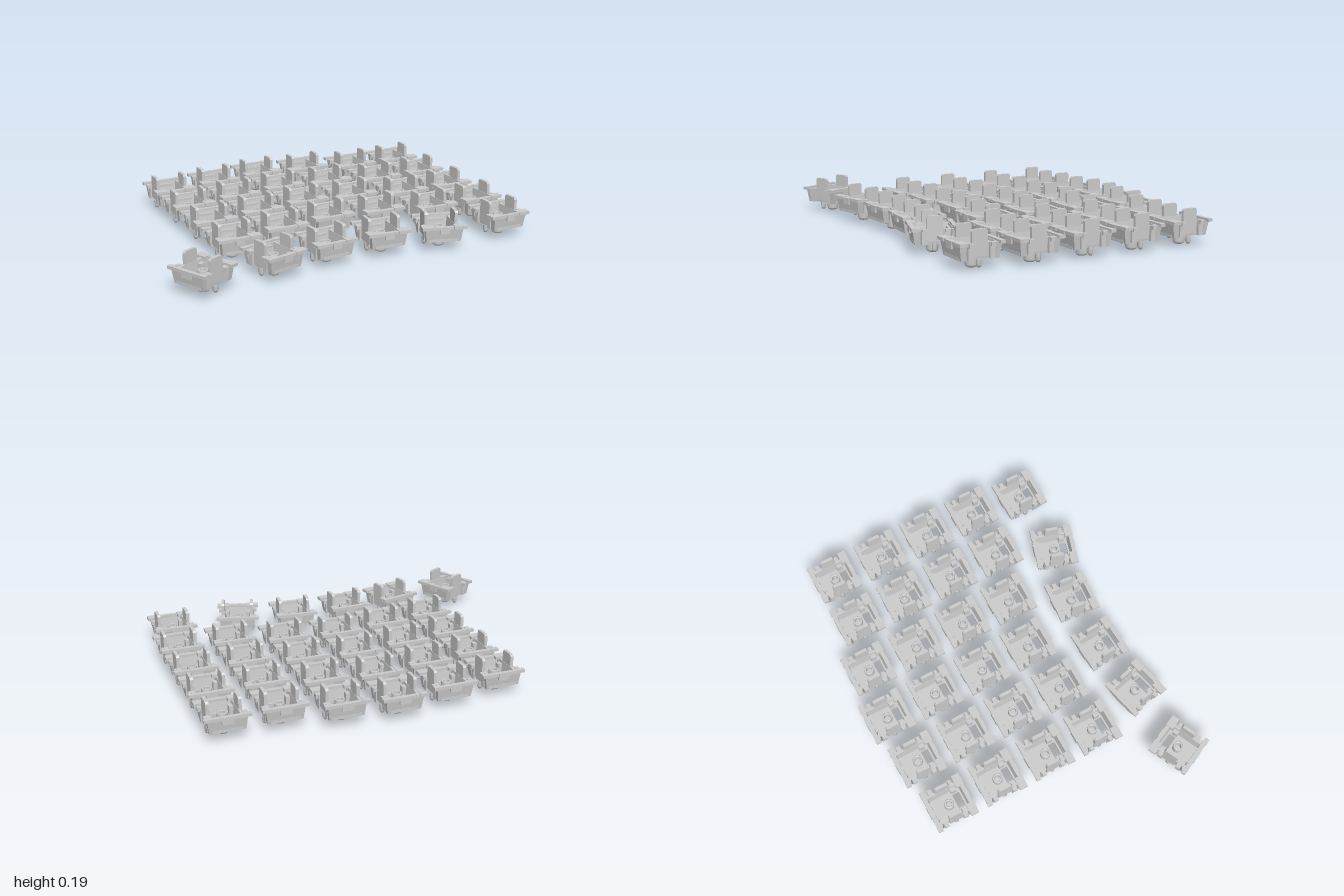
import * as THREE from 'three';

const material = new THREE.MeshStandardMaterial({ color: 0xcccccc, side: THREE.DoubleSide });

// Closed polygon from the [x, z] points of its +x half, mirrored across x = 0
function mirrored(half) {
  const all = [...half, ...half.slice().reverse().map(([x, z]) => [-x, z])];
  return new THREE.Shape(all.map(([x, z]) => new THREE.Vector2(x, -z)));
}

function rect(x0, x1, z0, z1) {
  return new THREE.Shape([[x0, z0], [x1, z0], [x1, z1], [x0, z1]].map(([x, z]) => new THREE.Vector2(x, -z)));
}

// Extrude a plan upward from y0 to y1; the bottom is narrowed by the taper factor
function extrudeUp(shape, y0, y1, taper = 1) {
  const g = new THREE.ExtrudeGeometry(shape, { depth: y1 - y0, bevelEnabled: false, curveSegments: 12 });
  g.rotateX(-Math.PI / 2);
  const p = g.attributes.position;
  for (let i = 0; i < p.count; i++) {
    const s = taper + (1 - taper) * p.getY(i) / (y1 - y0);
    p.setXYZ(i, p.getX(i) * s, p.getY(i) + y0, p.getZ(i) * s);
  }
  g.computeVertexNormals();
  return g;
}

function box(x, y, z, w, h, d) {
  return new THREE.BoxGeometry(w, h, d).translate(x, y, z);
}

function lathe(points, x = 0) {
  return new THREE.LatheGeometry(points.map(([r, y]) => new THREE.Vector2(r, y)), 20).translate(x, 0, 0);
}

// Geometry of one switch housing, shared by every copy
function housingParts() {
  const parts = [];
  const add = (name, geometry) => parts.push({ name, geometry });

  const outline = [[0, -0.108], [0.1, -0.108], [0.1, -0.085], [0.084, -0.08],
    [0.084, 0.07], [0.1, 0.075], [0.1, 0.108], [0, 0.108]];

  // Tapered walls around a hollow interior
  const walls = mirrored(outline);
  walls.holes.push(rect(-0.07, 0.07, -0.09, 0.094));
  add('walls', extrudeUp(walls, 0.05, 0.125, 0.9));

  // Floor with the light slot at the front
  const floor = mirrored([[0, -0.1], [0.076, -0.1], [0.076, 0.1], [0, 0.1]]);
  floor.holes.push(rect(-0.042, 0.042, 0.038, 0.077));
  add('floor', extrudeUp(floor, 0.05, 0.066));

  // Bars across the back and front rims
  add('backRim', box(0, 0.126, -0.104, 0.17, 0.016, 0.02));
  add('backLatch', box(0, 0.115, -0.111, 0.06, 0.038, 0.01));
  add('backLedge', box(0, 0.108, -0.084, 0.1, 0.014, 0.018));
  add('frontRim', box(0, 0.126, 0.102, 0.1, 0.014, 0.02));
  add('frontLatch', box(0, 0.115, 0.11, 0.05, 0.036, 0.01));

  // Side tongue with chamfered upper corners, drawn in z and y
  const tongue = new THREE.Shape([[-0.04, 0.065], [0.04, 0.065], [0.04, 0.18], [0.033, 0.19],
    [-0.033, 0.19], [-0.04, 0.18]].map(([z, y]) => new THREE.Vector2(z, y)));

  for (const s of [1, -1]) {
    const side = s > 0 ? 'left' : 'right';
    add(side + 'Tongue', new THREE.ExtrudeGeometry(tongue, { depth: 0.017, bevelEnabled: false })
      .rotateY(Math.PI / 2).translate(s * 0.08 - 0.0085, 0, 0));

    // Corner flanges
    add(side + 'BackFlange', box(s * 0.097, 0.127, -0.103, 0.04, 0.016, 0.025));
    add(side + 'FrontFlange', box(s * 0.084, 0.127, 0.094, 0.066, 0.016, 0.043));

    // Ribs beside the tongue and clip hooks
    for (const z of [-0.062, 0.05]) {
      add(side + 'Rib', box(s * 0.087, 0.088, z, 0.016, 0.074, 0.026));
      add(side + 'Hook', box(s * 0.096, 0.118, z, 0.024, 0.02, 0.022));
    }

    // Guide blocks inside and locating pin below
    add(side + 'Guide', box(s * 0.06, 0.085, 0.052, 0.026, 0.05, 0.03));
    add(side + 'Pin', lathe([[0, 0.014], [0.008, 0.014], [0.013, 0.026], [0.013, 0.055]], s * 0.076));
  }

  // Central mounting post and the open tube above it
  add('centrePost', lathe([[0, 0], [0.018, 0], [0.026, 0.004], [0.03, 0.013], [0.03, 0.055]]));
  add('centreTube', lathe([[0.026, 0.06], [0.026, 0.105], [0.024, 0.108], [0.017, 0.108], [0.016, 0.105], [0.016, 0.05], [0, 0.05]]));
  return parts;
}

export function createModel() {
  const model = new THREE.Group();
  model.name = 'switchArray';
  const parts = housingParts();

  function place(name, x, z, degrees = 0) {
    const unit = new THREE.Group();
    unit.name = name;
    for (const part of parts) {
      const mesh = new THREE.Mesh(part.geometry, material);
      mesh.name = part.name;
      unit.add(mesh);
    }
    unit.position.set(x, 0, z);
    unit.rotation.y = THREE.MathUtils.degToRad(degrees);
    model.add(unit);
  }

  // Six staggered columns of four, each given by the z of its back switch
  [-0.589, -0.626, -0.66, -0.626, -0.554, -0.554].forEach((z, column) => {
    for (let row = 0; row < 4; row++) place('columnSwitch', -0.55 + column * 0.2865, z + row * 0.286);
  });

  // Fanned front row: x, z, turn
  [[-0.85, 0.617, 115], [-0.467, 0.582, 13], [-0.158, 0.541, 3], [0.155, 0.543, -5],
    [0.465, 0.606, -17], [0.849, 0.593, 0]].forEach(([x, z, turn]) => place('thumbSwitch', x, z, turn));

  return model;
}
